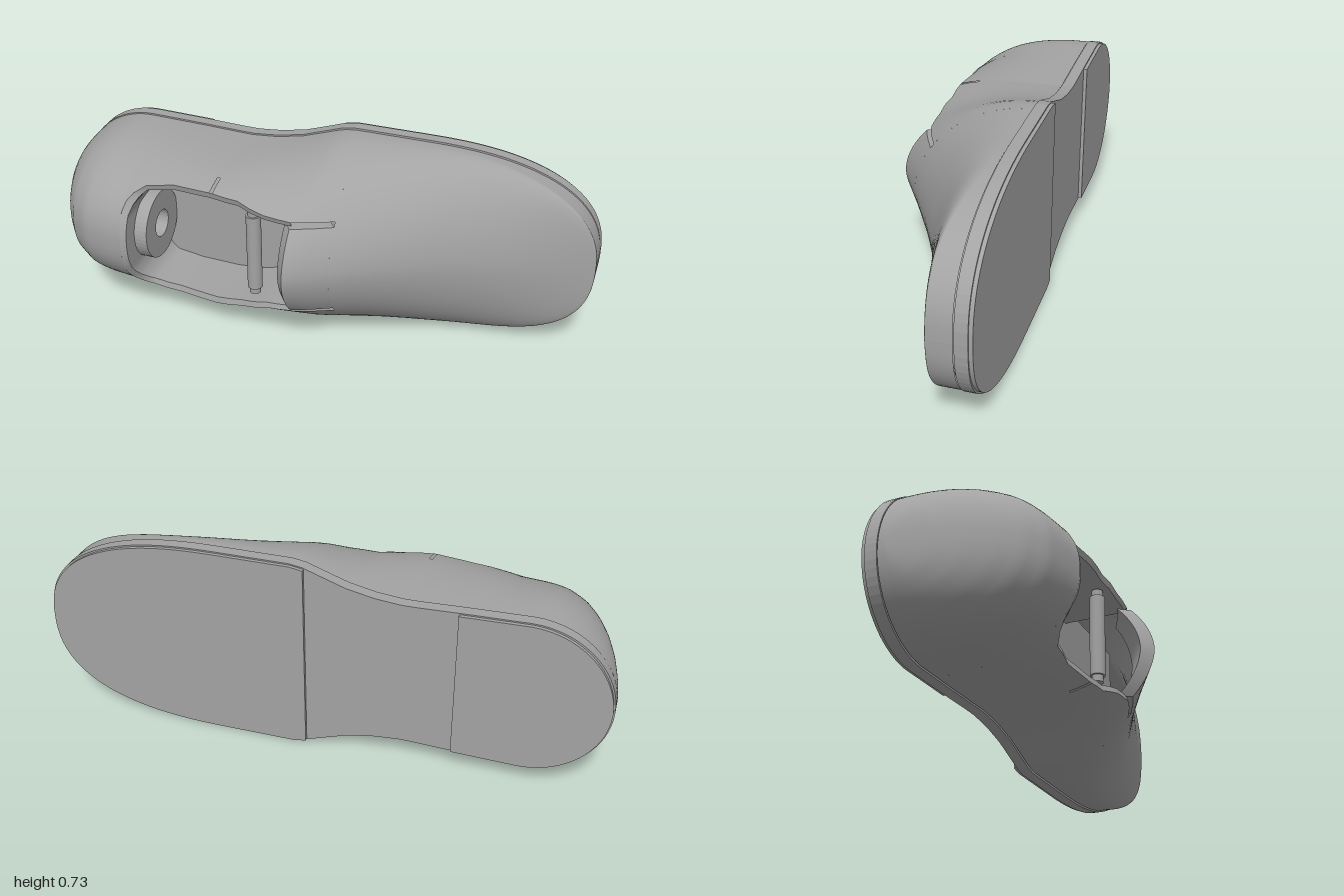
import * as THREE from 'three';

const CY = 0.365;       // centre line of the shoe (y)
const FLOOR = -0.06;    // insole height (z)

// linear lookup in a short [x, value] profile
function look(t, x) {
  if (x <= t[0][0]) return t[0][1];
  for (let i = 1; i < t.length; i++) {
    if (x <= t[i][0]) {
      const [a, va] = t[i - 1], [b, vb] = t[i];
      return va + (vb - va) * (x - a) / (b - a);
    }
  }
  return t[t.length - 1][1];
}
const smooth = THREE.MathUtils.smoothstep;

// half width of the sole outline
const WAIST = [[-0.71, 0.285], [-0.5, 0.28], [-0.3, 0.273], [-0.2, 0.282], [-0.1, 0.303],
  [0, 0.338], [0.05, 0.356], [0.09, 0.363], [0.35, 0.363]];
function width(x) {
  if (x < -0.71) return 0.285 * Math.sqrt(Math.max(0, 1 - ((x + 0.71) / 0.29) ** 2));
  if (x > 0.35) return 0.363 * Math.max(0, 1 - ((x - 0.35) / 0.65) ** 2.5) ** 0.4;
  return look(WAIST, x);
}
// crest height, section roundness and half width of the foot opening
const CREST = [[-1, -0.2], [-0.985, -0.12], [-0.97, -0.05], [-0.94, 0.04], [-0.9, 0.12],
  [-0.85, 0.185], [-0.78, 0.232], [-0.7, 0.25], [-0.62, 0.262], [-0.3, 0.3], [0, 0.282],
  [0.1, 0.22], [0.2, 0.163], [0.3, 0.107], [0.4, 0.057], [0.5, 0.01], [0.6, -0.025],
  [0.72, -0.06], [0.85, -0.1], [1, -0.138]];
const ROUND = [[-1, 2.2], [-0.62, 2.35], [-0.5, 2.7], [-0.3, 3.2], [-0.1, 2.1], [0, 1.8], [1, 1.8]];
const OPEN = [[-0.62, 0.13], [-0.61, 0.165], [-0.59, 0.19], [-0.55, 0.215], [-0.45, 0.232],
  [-0.3, 0.237], [-0.2, 0.225], [-0.1, 0.197], [0, 0.188], [0.14, 0.188]];

const edgeAngle = (x, e) => Math.acos(Math.min(1, e / width(x)) ** (look(ROUND, x) / 2));

// point on the upper: phi 0 is the +y side, PI the -y side
function skin(x, phi) {
  const n = 2 / look(ROUND, x), c = Math.cos(phi);
  const zb = -0.2 + 0.06 * smooth(x, 0.5, 1);
  const y = 0.985 * width(x) * Math.sign(c) * Math.abs(c) ** n;
  const z = zb + (look(CREST, x) - zb) * Math.max(0, Math.sin(phi)) ** n;
  return [x, CY + y, z];
}
function section(x, from, to, n) {
  return Array.from({ length: n + 1 }, (_, i) => skin(x, from + (to - from) * i / n));
}
const drop = (p) => [p[0], p[1], -0.222];

// surface through a list of equally long point rows
function loft(rows) {
  const n = rows[0].length, idx = [];
  for (let i = 0; i < rows.length - 1; i++) {
    for (let j = 0; j < n - 1; j++) {
      const a = i * n + j, b = a + n;
      idx.push(a, b, a + 1, b, b + 1, a + 1);
    }
  }
  const g = new THREE.BufferGeometry();
  g.setAttribute('position', new THREE.Float32BufferAttribute(rows.flat(2), 3));
  g.setIndex(idx);
  g.computeVertexNormals();
  return g;
}

// closed sole outline between two stations
function outline(x0, x1, inset) {
  const pts = [], N = 64;
  for (let i = 0; i <= N; i++) {
    const x = x0 + (x1 - x0) * (1 - Math.cos(Math.PI * i / N)) / 2;
    pts.push([x * (1 - inset), Math.max(0.0005, width(x) - inset)]);
  }
  const up = pts.map(([x, w]) => new THREE.Vector2(x, CY + w));
  const down = pts.map(([x, w]) => new THREE.Vector2(x, CY - w)).reverse();
  return new THREE.Shape([...down.reverse(), ...up.reverse()]);
}
function slab(x0, x1, inset, z0, z1) {
  const g = new THREE.ExtrudeGeometry(outline(x0, x1, inset), { depth: z1 - z0, bevelEnabled: false });
  return g.translate(0, 0, z0);
}

export function createModel() {
  const group = new THREE.Group();
  const grey = new THREE.MeshStandardMaterial({ color: 0xa3a3a3, side: THREE.DoubleSide });
  grey.name = 'plain grey';
  const add = (name, geo) => {
    const m = new THREE.Mesh(geo, grey);
    m.name = name;
    group.add(m);
    return m;
  };

  // sole with raised heel and forefoot pads, leaving a shallow arch
  add('sole', slab(-1, 1, 0, -0.267, -0.225));
  add('weltGroove', slab(-1, 1, 0.012, -0.226, -0.216));
  add('heelPad', slab(-1, -0.48, 0.005, -0.28, -0.266));
  add('forefootPad', slab(0.045, 1, 0.005, -0.28, -0.266));

  // closed heel cup and toe of the upper
  const closed = (x) => {
    const s = section(x, 0, Math.PI, 48);
    return [drop(s[0]), ...s, drop(s[48])];
  };
  const N = 32, heel = [], toe = [];
  for (let i = 0; i <= N; i++) {
    heel.push(closed(-1 + 0.38 * (i / N) ** 2));
    toe.push(closed(1 - 0.86 * (1 - i / N) ** 2));
  }
  add('heelCup', loft(heel));
  add('toeUpper', loft(toe));

  // open side walls, with a narrow notch in the collar
  const stations = [];
  for (const x of [-0.62, -0.615, -0.61, -0.6, -0.59, -0.57, -0.55, -0.5, -0.45, -0.4, -0.35, -0.306]) stations.push([x, look(OPEN, x)]);
  stations.push([-0.306, 0.257], [-0.294, 0.257]);
  for (const x of [-0.294, -0.25, -0.2, -0.15, -0.1, -0.05, 0, 0.03, 0.06, 0.1, 0.14]) stations.push([x, look(OPEN, x)]);
  for (const side of [1, -1]) {
    const rows = stations.map(([x, e]) => {
      const s = section(x, 0, edgeAngle(x, e), 20);
      return [drop(s[0]), ...s].map(([px, py, pz]) => [px, CY + side * (py - CY), pz]);
    });
    add(side > 0 ? 'upperSideWall' : 'lowerSideWall', loft(rows));
  }

  // tongue flap between the two slits, with a thick front lip
  const flap = [], flapUnder = [];
  for (let i = 0; i <= 8; i++) {
    const x = 0.14 * i / 8, a = edgeAngle(x, 0.172);
    const s = section(x, a, Math.PI - a, 24);
    flap.push(s);
    flapUnder.push(s.map(([px, y, z]) => [px - 0.03, y, z - 0.042]));
  }
  add('tongueFlap', loft(flap));
  add('tongueUnderside', loft(flapUnder));
  add('tongueLip', loft([flap[0], flapUnder[0]]));
  for (const k of [0, 24]) add('tongueEdge', loft([flap.map((r) => r[k]), flapUnder.map((r) => r[k])]));

  // collar rim and inner lining around the opening
  const rimSide = stations.filter(([x, e]) => x <= 0 && e < 0.25)
    .map(([x, e]) => skin(x, edgeAngle(x, e)));
  const back = edgeAngle(-0.62, 0.13);
  const rim = [
    ...rimSide.slice().reverse(),
    ...section(-0.62, back, Math.PI - back, 10).slice(1, -1),
    ...rimSide.map(([x, y, z]) => [x, 2 * CY - y, z]),
  ];
  const inner = rim.map(([x, y, z]) => [
    x + 0.022 * (1 - smooth(x, -0.62, -0.54)),
    CY + (y - CY) * (1 - 0.022 / 0.22), z - 0.006]);
  add('collarRim', loft([rim, inner]));
  add('lining', loft([inner, inner.map(([x, y]) => [x, y, FLOOR])]));
  add('insole', new THREE.PlaneGeometry(1.05, 0.46).translate(-0.085, CY, FLOOR));

  // pierced disc at the heel end of the opening
  const ring = new THREE.Shape().absarc(0, 0, 0.13, 0, Math.PI * 2);
  ring.holes.push(new THREE.Path().absarc(0, 0, 0.052, 0, Math.PI * 2, true));
  const disc = add('heelDisc', new THREE.ExtrudeGeometry(ring, { depth: 0.065, bevelEnabled: false, curveSegments: 24 }));
  disc.rotation.y = Math.PI / 2;
  disc.position.set(-0.615, CY, 0.065);

  // cross bar with slimmer end pins
  add('crossBar', new THREE.CylinderGeometry(0.027, 0.027, 0.3, 24)).position.set(-0.158, CY + 0.005, 0.13);
  add('crossBarPin', new THREE.CylinderGeometry(0.02, 0.02, 0.35, 24)).position.set(-0.158, CY + 0.005, 0.13);

  return group;
}
